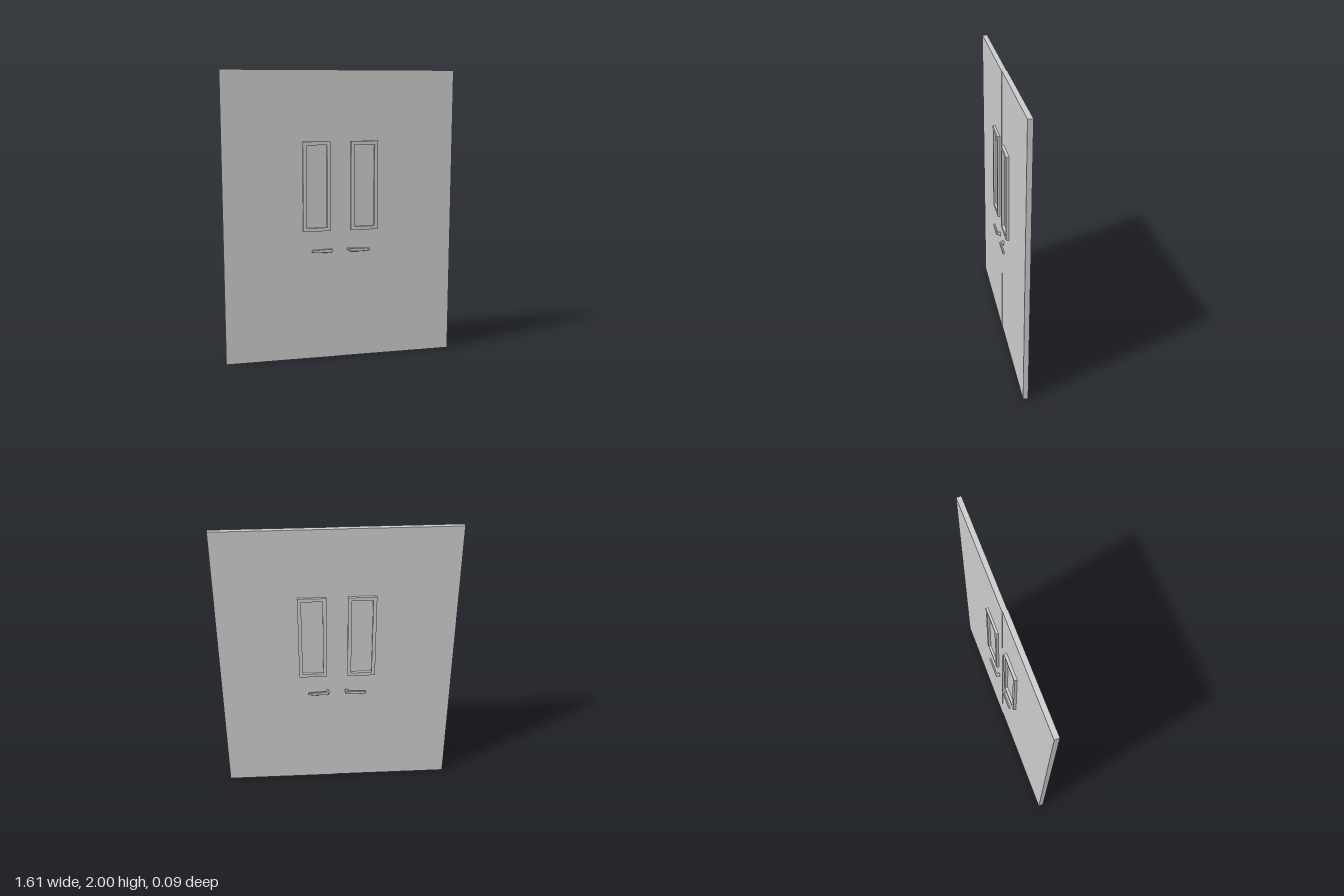
import * as THREE from 'three';

const mat = new THREE.MeshStandardMaterial({ color: 0xcccccc, flatShading: true });
const smooth = new THREE.MeshStandardMaterial({ color: 0xcccccc });

const HALF = 0.017;   // half thickness of a leaf
const FRAME = 0.035;  // how far the window frame reaches from the centre plane

function add(parent, name, geometry, material = mat) {
  const mesh = new THREE.Mesh(geometry, material);
  mesh.name = name;
  parent.add(mesh);
  return mesh;
}

// Rectangular window surround, passing through the leaf
function frameGeometry() {
  const rect = (T, w, h) => new T([
    new THREE.Vector2(-w / 2, -h / 2), new THREE.Vector2(w / 2, -h / 2),
    new THREE.Vector2(w / 2, h / 2), new THREE.Vector2(-w / 2, h / 2),
  ]);
  const shape = rect(THREE.Shape, 0.191, 0.614);
  shape.holes.push(rect(THREE.Path, 0.142, 0.566));
  return new THREE.ExtrudeGeometry(shape, { depth: FRAME * 2, bevelEnabled: false }).translate(0, 0, -FRAME);
}

// Lever outline: pivot end at the origin, grip running along dir (+1 or -1)
function leverGeometry(dir) {
  const pts = [
    [-0.005, -0.008], [0, -0.011], [0.035, -0.013], [0.1, -0.012], [0.132, -0.009], [0.138, -0.005],
    [0.138, 0.005], [0.132, 0.008], [0.1, 0.009], [0.035, 0.012], [0, 0.011], [-0.005, 0.008],
  ].map(([x, y]) => new THREE.Vector2(x * dir, y));
  return new THREE.ExtrudeGeometry(new THREE.Shape(pts), {
    depth: 0.008, bevelEnabled: true, bevelThickness: 0.002, bevelSize: 0.002, bevelOffset: -0.002, bevelSegments: 1,
  }).translate(0, 0, 0.035);
}

// Rose, neck and lever on one face
function buildHandle(dir) {
  const handle = new THREE.Group();
  const cyl = (r, z0, z1) => new THREE.CylinderGeometry(r, r, z1 - z0, 20)
    .rotateX(Math.PI / 2).translate(0, 0, (z0 + z1) / 2);
  add(handle, 'rose', cyl(0.016, 0.012, 0.022), smooth);
  add(handle, 'neck', cyl(0.011, 0.02, 0.036), smooth);
  add(handle, 'lever', leverGeometry(dir));
  return handle;
}

export function createModel() {
  const model = new THREE.Group();
  model.name = 'doubleDoor';

  for (const side of [-1, 1]) {
    const leaf = new THREE.Group();
    leaf.name = side > 0 ? 'leftLeaf' : 'rightLeaf';

    // Slab; the two leaves meet with a very slight step
    add(leaf, 'slab', new THREE.BoxGeometry(0.805, 2, HALF * 2)).position.set(side * 0.4025, 1, -side * 0.0015);

    // Window surround
    add(leaf, 'windowFrame', frameGeometry()).position.set(side * 0.167, 1.217, 0);

    // A handle on each face, gripping away from the meeting edge
    for (const face of [1, -1]) {
      const handle = buildHandle(side * face);
      handle.name = face > 0 ? 'frontHandle' : 'backHandle';
      handle.position.set(side * 0.065, 0.772, 0);
      if (face < 0) handle.rotation.y = Math.PI;
      leaf.add(handle);
    }
    model.add(leaf);
  }
  return model;
}
